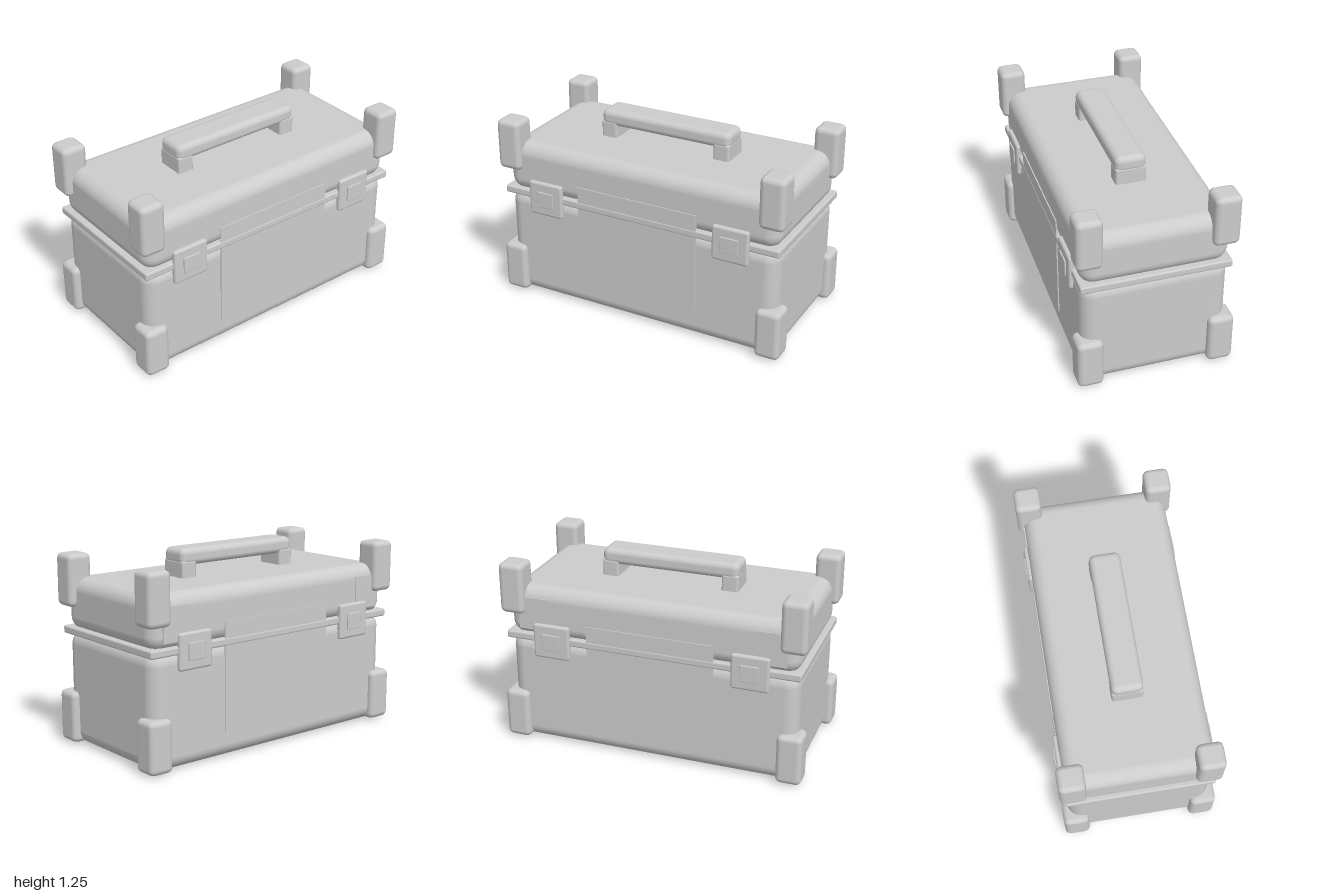
import * as THREE from 'three';
import { RoundedBoxGeometry } from 'three/addons/geometries/RoundedBoxGeometry.js';

export function createModel() {
  const model = new THREE.Group();
  model.name = 'storageCase';
  const grey = new THREE.MeshStandardMaterial({ color: 0xcccccc });
  grey.name = 'grey';

  // Adds a box given by its [min, max] range on each axis; radius 0 keeps sharp edges
  function addBox(name, [x0, x1], [y0, y1], [z0, z1], radius = 0, segments = 3) {
    const w = x1 - x0, h = y1 - y0, d = z1 - z0;
    const geometry = radius
      ? new RoundedBoxGeometry(w, h, d, segments, radius)
      : new THREE.BoxGeometry(w, h, d);
    const mesh = new THREE.Mesh(geometry, grey);
    mesh.name = name;
    mesh.position.set((x0 + x1) / 2, (y0 + y1) / 2, (z0 + z1) / 2);
    model.add(mesh);
  }

  // Range from a to b, mirrored when the sign is negative
  const side = (sign, a, b) => (sign > 0 ? [a, b] : [-b, -a]);

  // Main shells and the seam rim between them
  addBox('body', [-0.955, 0.955], [0, 0.737], [-0.462, 0.462], 0.09, 5);
  addBox('lid', [-0.955, 0.955], [0.735, 1.075], [-0.462, 0.462], 0.09, 5);
  addBox('rim', [-0.972, 0.972], [0.71, 0.76], [-0.472, 0.472], 0.012, 2);

  // Carry handle
  addBox('handleGrip', [-0.455, 0.455], [1.15, 1.255], [-0.098, 0.098], 0.038);
  for (const sx of [1, -1]) {
    addBox('handlePost', side(sx, 0.345, 0.455), [1.06, 1.182], [-0.098, 0.098], 0.016, 2);
  }

  for (const sz of [1, -1]) {
    // Flat panel across the seam, front and back
    addBox('panel', [-0.42, 0.42], [0.16, 0.862], side(sz, 0.46, 0.469));

    for (const sx of [1, -1]) {
      // Latches with a raised button
      addBox('latch', side(sx, 0.533, 0.777), [0.61, 0.84], side(sz, 0.45, 0.488), 0.016, 2);
      addBox('latchButton', side(sx, 0.595, 0.715), [0.67, 0.778], side(sz, 0.48, 0.497), 0.004, 1);

      // Corner guards, lower and upper
      for (const [y0, y1] of [[0.01, 0.342], [0.89, 1.224]]) {
        addBox('cornerGuard', side(sx, 0.835, 1), [y0, y1], side(sz, 0.335, 0.5), 0.035, 2);
      }
    }
  }

  // Thin hinge plates on the back of the lid
  for (const sx of [1, -1]) {
    addBox('hingePlate', side(sx, 0.69, 0.88), [0.79, 1.005], [-0.467, -0.459]);
  }

  return model;
}
